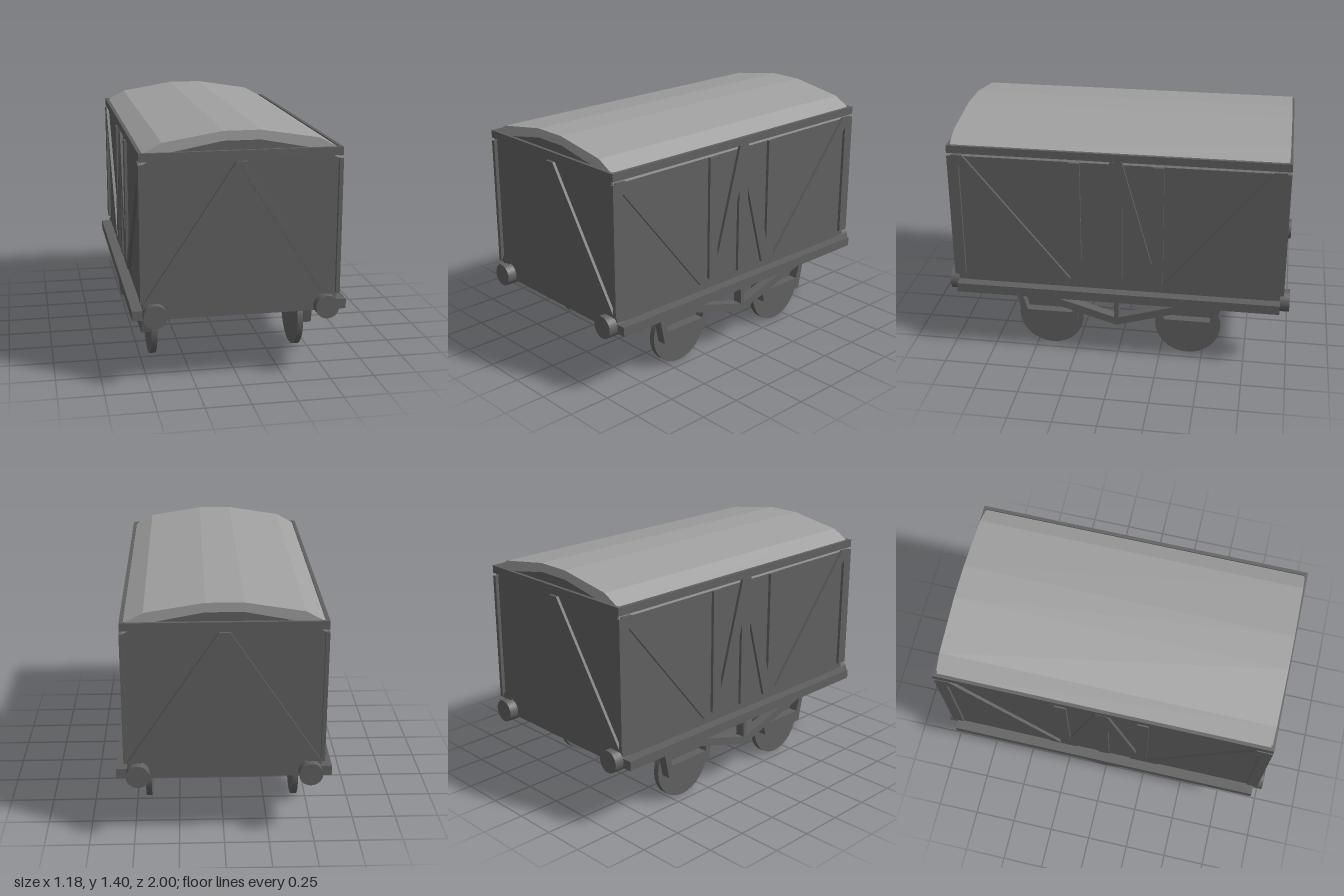
import * as THREE from 'three';

export function createModel() {
  const model = new THREE.Group();
  model.name = 'coveredWagon';
  const dark = new THREE.MeshStandardMaterial({ color: 0x606060 });
  dark.name = 'dark grey';
  const light = new THREE.MeshStandardMaterial({ color: 0xa0a0a0 });
  light.name = 'roof grey';

  const add = (name, geometry, material = dark) => {
    const mesh = new THREE.Mesh(geometry, material);
    mesh.name = name;
    model.add(mesh);
    return mesh;
  };
  const box = (name, w, h, d, x, y, z) =>
    add(name, new THREE.BoxGeometry(w, h, d)).position.set(x, y, z);
  const shapeOf = (pts) => new THREE.Shape(pts.map(([a, b]) => new THREE.Vector2(a, b)));
  const extrude = (shape, depth) =>
    new THREE.ExtrudeGeometry(shape, { depth, bevelEnabled: false });
  const flip = (pts) => pts.map(([a, b]) => [-a, b]);
  // profile in (x, y), running from z0 to z1
  const alongZ = (name, pts, z0, z1, material) =>
    add(name, extrude(shapeOf(pts), z1 - z0).translate(0, 0, z0), material);
  // profile in (z, y), running from x0 to x1
  const alongX = (name, pts, x0, x1) =>
    add(name, extrude(shapeOf(flip(pts)), x1 - x0).rotateY(Math.PI / 2).translate(x0, 0, 0));
  // side part repeated on both sides of the wagon
  const bothSides = (name, pts, x0, x1) => {
    alongX(name + 'Left', pts, x0, x1);
    alongX(name + 'Right', pts, -x1, -x0);
  };

  // Body with gable ends following the underside of the roof
  const under = [[0.53, 1.235], [0.42, 1.29], [0.1, 1.35]];
  const underArch = [...under, ...flip(under).reverse()];
  alongZ('body', [[-0.53, 0.4], [0.53, 0.4], ...underArch], -0.945, 0.945);

  // Arched roof shell
  const over = [[0.53, 1.29], [0.42, 1.35], [0.1, 1.402]];
  const overArch = [...over, ...flip(over).reverse()];
  alongZ('roof', [...overArch, ...underArch.slice().reverse()], -0.95, 0.95, light);

  // Rail around the eaves
  const rail = shapeOf([[-0.545, -0.965], [0.545, -0.965], [0.545, 0.965], [-0.545, 0.965]]);
  rail.holes.push(shapeOf([[-0.525, -0.945], [-0.525, 0.945], [0.525, 0.945], [0.525, -0.945]]));
  add('eavesRail', extrude(rail, 0.045).rotateX(-Math.PI / 2).translate(0, 1.255, 0));

  // Floor frame
  box('floorFrame', 1.18, 0.055, 1.89, 0, 0.4175, 0);

  // End frames: two braces meeting at the top
  const endBrace = [[-0.53, 0.485], [-0.455, 0.485], [0, 1.195], [0.455, 0.485],
    [0.53, 0.485], [0.03, 1.24], [-0.03, 1.24]];
  alongZ('frontBrace', endBrace, 0.945, 0.962);
  alongZ('backBrace', endBrace, -0.962, -0.945);

  // Side frames
  bothSides('centrePost', [[-0.035, 0.49], [0.035, 0.49], [0.035, 1.256], [-0.035, 1.256]], 0.53, 0.547);
  for (const end of [1, -1]) {
    const tag = end > 0 ? 'Front' : 'Back';
    const at = (pts) => pts.map(([z, y]) => [z * end, y]);
    bothSides('cornerPost' + tag, at([[0.9, 0.487], [0.965, 0.487], [0.965, 1.238], [0.9, 1.238]]), 0.525, 0.547);
    bothSides('doorPost' + tag, at([[0.205, 0.49], [0.27, 0.49], [0.27, 1.235], [0.205, 1.235]]), 0.53, 0.547);
    bothSides('cornerBrace' + tag, at([[0.26, 0.49], [0.337, 0.49], [0.945, 1.235], [0.94, 1.245], [0.877, 1.245]]), 0.53, 0.547);
    bothSides('doorBrace' + tag, at([[0.17, 0.49], [0.26, 0.49], [0.205, 0.63], [0.035, 1.25], [0.035, 0.99]]), 0.53, 0.547);

    // Axle guards: a bar hung from two splayed legs
    const zc = 0.412;
    const guard = [[-0.205, 0.395], [-0.16, 0.18], [0.16, 0.18], [0.205, 0.395],
      [0.175, 0.395], [0.135, 0.25], [-0.135, 0.25], [-0.175, 0.395]];
    bothSides('axleGuard' + tag, at(guard.map(([z, y]) => [z + zc, y])), 0.445, 0.5);

    for (const side of [1, -1]) {
      // Wheels
      const wheel = add('wheel' + tag, new THREE.CylinderGeometry(0.195, 0.195, 0.034, 32));
      wheel.rotation.z = Math.PI / 2;
      wheel.position.set(side * 0.428, 0.197, end * zc);
      // Buffers
      const buffer = add('buffer' + tag, new THREE.CylinderGeometry(0.065, 0.065, 0.107, 28));
      buffer.rotation.x = Math.PI / 2;
      buffer.position.set(side * 0.471, 0.422, end * 0.9465);
    }
  }

  // Brake rigging: shallow V bar with a centre hanger
  bothSides('brakeBar', [[-0.58, 0.395], [0, 0.222], [0.58, 0.395], [0.42, 0.395],
    [0, 0.27], [-0.42, 0.395]], 0.5, 0.557);
  bothSides('brakeHanger', [[-0.014, 0.25], [0.014, 0.25], [0.014, 0.395], [-0.014, 0.395]], 0.5, 0.557);

  return model;
}
